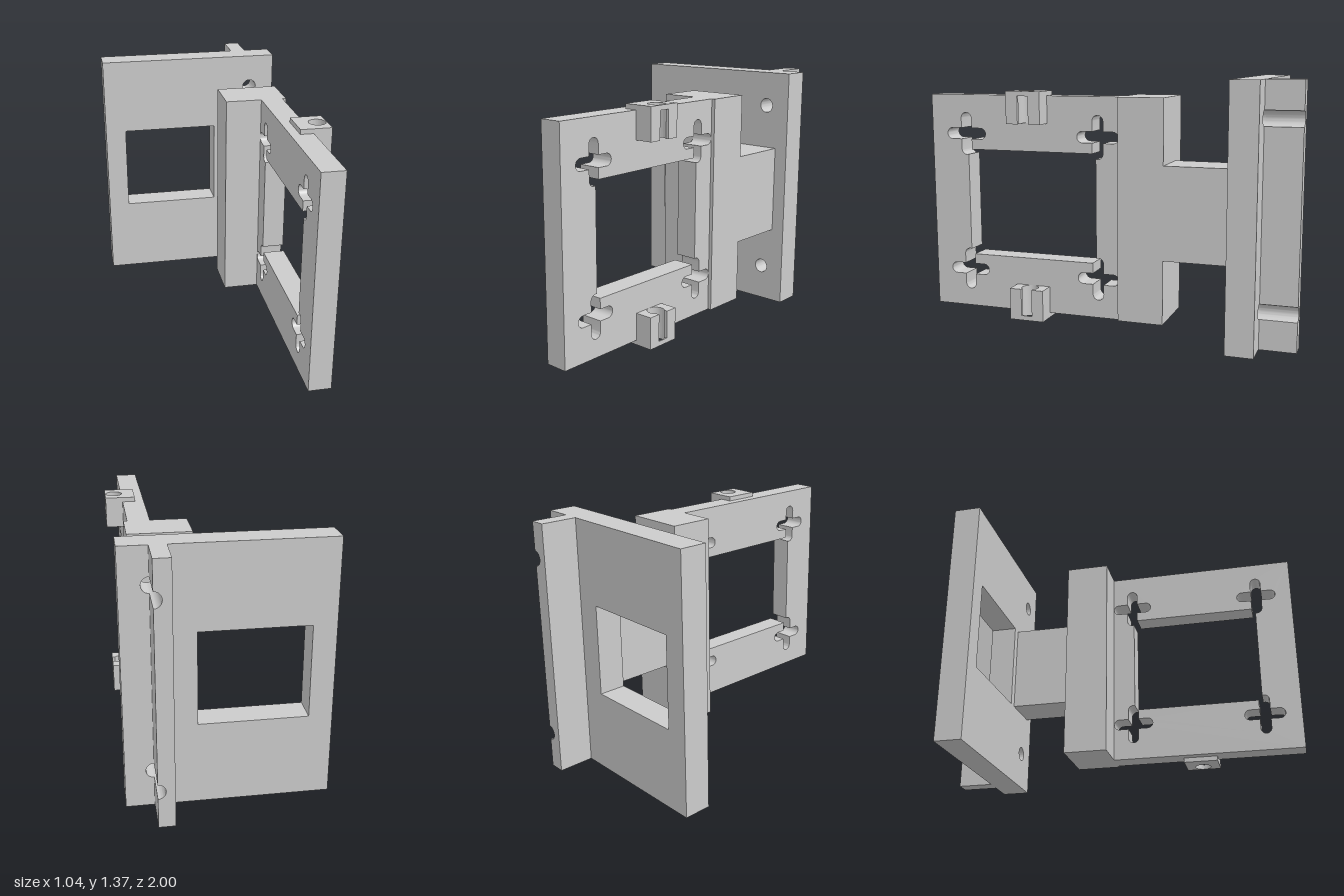
import * as THREE from 'three';
import { toCreasedNormals } from 'three/addons/utils/BufferGeometryUtils.js';

const material = new THREE.MeshStandardMaterial({ color: 0xcccccc });
const MID_Y = 0.685;

function addMesh(parent, name, geometry) {
  const mesh = new THREE.Mesh(geometry, material);
  mesh.name = name;
  parent.add(mesh);
  return mesh;
}

// Box given by its limits on each axis
function addBox(parent, name, [x0, x1], [y0, y1], [z0, z1]) {
  const mesh = addMesh(parent, name, new THREE.BoxGeometry(x1 - x0, y1 - y0, z1 - z0));
  mesh.position.set((x0 + x1) / 2, (y0 + y1) / 2, (z0 + z1) / 2);
  return mesh;
}

function extrude(shape, depth) {
  const geometry = new THREE.ExtrudeGeometry(shape, { depth, bevelEnabled: false, curveSegments: 24 });
  return toCreasedNormals(geometry, 0.6);
}

const polygon = (points) => new THREE.Shape(points.map(([x, y]) => new THREE.Vector2(x, y)));
const rectangle = (x0, x1, y0, y1) => polygon([[x0, y0], [x1, y0], [x1, y1], [x0, y1]]);
const circle = (x, y, r) => new THREE.Path().absarc(x, y, r, 0, Math.PI * 2);

// Points along an arc, angles in degrees
function arc(cx, cy, r, from, to, steps = 12) {
  return Array.from({ length: steps + 1 }, (_, i) => {
    const a = THREE.MathUtils.degToRad(from + (to - from) * i / steps);
    return [cx + r * Math.cos(a), cy + r * Math.sin(a)];
  });
}

// Large opening whose four corners run into cross-shaped mounting slots
function openingOutline() {
  const w = 0.03, e = 0.084;
  const corner = [
    [-w, -0.085], [-w, -w],
    ...arc(-e, 0, w, 270, 90),
    [-w, w],
    ...arc(0, e, w, 180, 0),
    [w, w],
    ...arc(e, 0, w, 90, -90),
    [w, -w],
    ...arc(0, -e, w, 0, -109.5),
  ];
  const place = (sz, sy) => corner.map(([u, v]) => [0.4175 + sz * (0.3775 + u), MID_Y + sy * (0.375 + v)]);
  return polygon([
    ...place(1, 1), ...place(1, -1).reverse(),
    ...place(-1, -1), ...place(-1, 1).reverse(),
  ]);
}

// Cable clip: capped block with a vertical bore and a slot open to the side
function makeClip(side) {
  const clip = new THREE.Group();
  clip.name = side > 0 ? 'upperClip' : 'lowerClip';
  const x0 = 0.355, x1 = 0.52, z0 = 0.32, z1 = 0.51, cx = 0.47, cz = 0.415, r = 0.045, s = 0.03;
  const a = THREE.MathUtils.radToDeg(Math.asin(s / r));
  const cap = rectangle(x0, x1, z0, z1);
  cap.holes.push(circle(cx, cz, r));
  const body = polygon([
    [x0, z0], [x1, z0], [x1, cz - s],
    ...arc(cx, cz, r, 360 - a, a, 28),
    [x1, cz + s], [x1, z1], [x0, z1],
  ]);
  const addLayer = (name, shape, near, far) => {
    const mesh = addMesh(clip, name, extrude(shape, far - near).rotateX(Math.PI / 2));
    mesh.position.y = side > 0 ? MID_Y + far : MID_Y - near;
  };
  addLayer('clipCap', cap, 0.585, 0.61);
  addLayer('clipBody', body, 0.44, 0.585);
  return clip;
}

export function createModel() {
  const model = new THREE.Group();
  model.name = 'mountingBracket';
  const boltHeights = [0.2, 1.175], boltX = 0.375, boltR = 0.04;

  // Back plate with window and bolt holes
  const plate = rectangle(-0.52, 0.52, 0, 1.365);
  plate.holes.push(rectangle(-0.4, 0.155, 0.44, 0.93));
  boltHeights.forEach((y) => plate.holes.push(circle(boltX, y, boltR)));
  addMesh(model, 'backPlate', extrude(plate, 0.147)).position.z = -0.807;

  // Rear rail, grooved where the bolt holes pass
  const rail = polygon([
    [0.29, 0], [boltX, 0],
    ...boltHeights.flatMap((y) => arc(boltX, y, boltR, 270, 90, 20)),
    [boltX, 1.365], [0.29, 1.365],
  ]);
  addMesh(model, 'rearRail', extrude(rail, 0.193)).position.z = -1;

  // Neck and upright joining the two plates
  addBox(model, 'neck', [0.205, 0.445], [0.44, 0.93], [-0.66, -0.318]);
  addBox(model, 'upright', [0.108, 0.445], [0.1, 1.27], [-0.318, -0.075]);

  // Side frame, drawn in z and y and extruded across x
  const frame = rectangle(-0.08, 1, 0.1, 1.27);
  frame.holes.push(openingOutline());
  addMesh(model, 'sideFrame', extrude(frame, 0.12).rotateY(-Math.PI / 2)).position.x = 0.425;

  // Clips at the top and bottom of the frame
  model.add(makeClip(1), makeClip(-1));
  return model;
}
